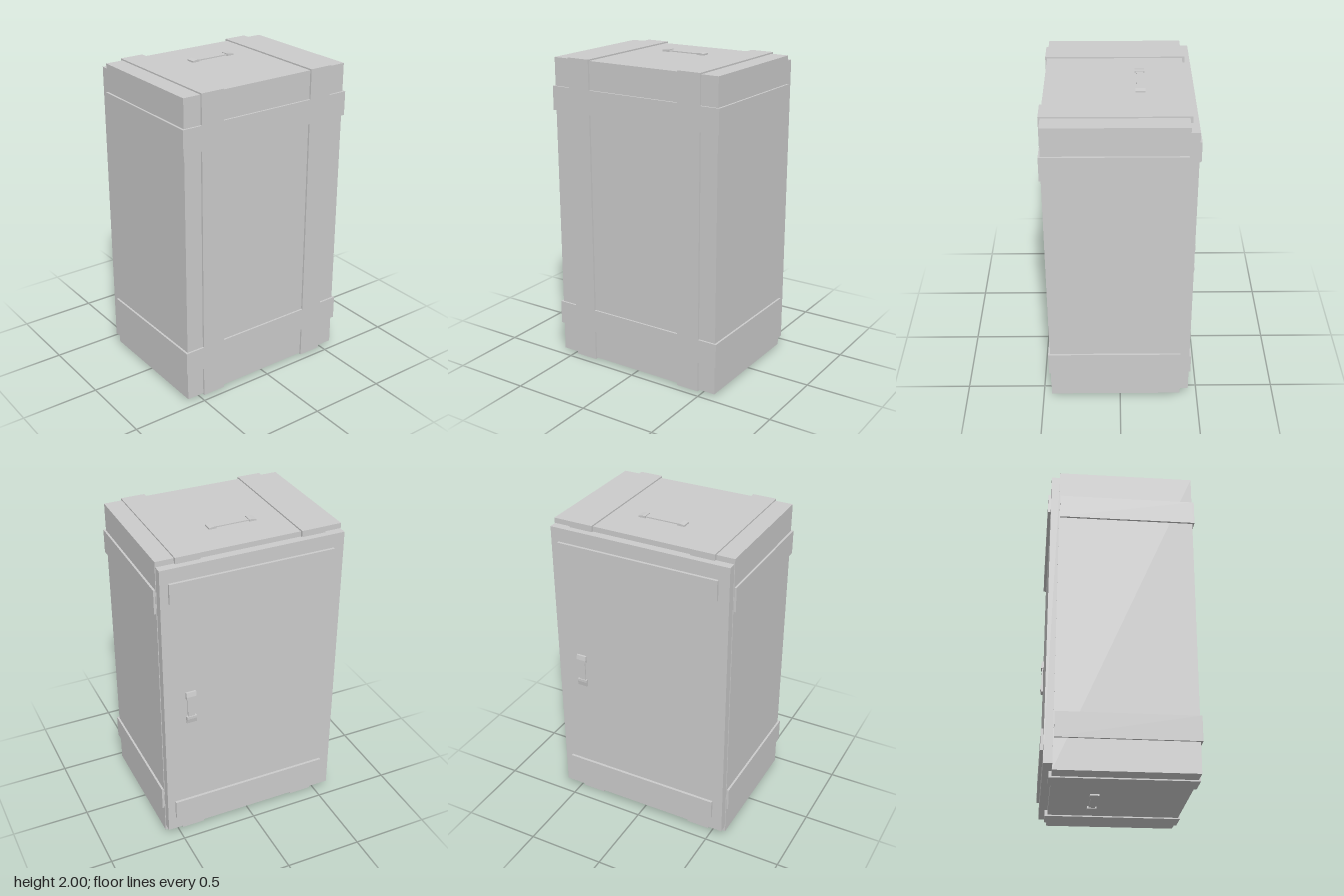
import * as THREE from 'three';

export function createModel() {
  const model = new THREE.Group();
  const material = new THREE.MeshStandardMaterial({ color: 0xcccccc, flatShading: true });

  const add = (name, geometry, parent = model) => {
    const mesh = new THREE.Mesh(geometry, material);
    mesh.name = name;
    parent.add(mesh);
    return mesh;
  };
  // Box given by its minimum and maximum on each axis
  const box = (name, [x0, x1], [y0, y1], [z0, z1], parent) => {
    const mesh = add(name, new THREE.BoxGeometry(x1 - x0, y1 - y0, z1 - z0), parent);
    mesh.position.set((x0 + x1) / 2, (y0 + y1) / 2, (z0 + z1) / 2);
    return mesh;
  };

  const bodyX = 0.587, outerX = 0.6, front = 0.447, frontFace = 0.459, back = -0.39;
  const low = 0.015, high = 1.986, strapLow = 0.007, strapHigh = 1.995;
  const inner = 0.32, outer = 0.473;
  const bands = [[0.204, 0.358], [1.655, 1.808]];

  box('body', [-bodyX, bodyX], [low, high], [back, front]);

  // Front frame: two posts crossed by two bands, all in one plane
  const [[b0, b1], [t0, t1]] = bands;
  const rightSide = [
    [inner, strapLow], [outer, strapLow], [outer, b0], [outerX, b0], [outerX, b1], [outer, b1],
    [outer, t0], [outerX, t0], [outerX, t1], [outer, t1], [outer, strapHigh], [inner, strapHigh], [inner, t1],
  ];
  const outline = [[inner, b0], ...rightSide];
  const mirrored = outline.map(([x, y]) => [-x, y]).reverse();
  const frame = new THREE.Shape([...outline, ...mirrored].map(p => new THREE.Vector2(...p)));
  frame.holes.push(new THREE.Path([[-inner, b1], [-inner, t0], [inner, t0], [inner, b1]]
    .map(p => new THREE.Vector2(...p))));
  const frameGeometry = new THREE.ExtrudeGeometry(frame, { depth: frontFace - front, bevelEnabled: false });
  add('frontFrame', frameGeometry).position.z = front;

  for (const side of [-1, 1]) {
    const span = (a, b) => (side > 0 ? [a, b] : [-b, -a]);
    const name = side > 0 ? 'left' : 'right';
    // Bands continuing around the sides
    for (const band of bands) box(name + 'SideBand', span(bodyX, outerX), band, [-0.385, front]);
    // Straps over the lid and under the base, running past the back edge
    box(name + 'TopStrap', span(inner, outer), [high - 0.03, strapHigh], [-0.407, front]);
    box(name + 'BottomStrap', span(inner, outer), [strapLow, low + 0.03], [-0.407, front]);
  }

  // Rear door with two raised panels
  box('door', [-0.583, 0.583], [0.054, 1.953], [-0.442, back]);
  for (const y of [[0.153, 0.281], [1.737, 1.865]]) box('doorPanel', [-0.515, 0.533], y, [-0.459, -0.442]);

  // Handle lying along x and rising along y: sloped end pads joined by a thin bar
  const handle = (name, halfLength, rise, width) => {
    const group = new THREE.Group();
    group.name = name;
    const h = halfLength;
    const profile = [[h - 0.047, 0], [h, 0], [h, rise * 0.7], [h - 0.03, rise], [h - 0.047, rise]];
    const pad = new THREE.ExtrudeGeometry(
      new THREE.Shape(profile.map(p => new THREE.Vector2(...p))),
      { depth: width, bevelEnabled: false }).translate(0, 0, -width / 2);
    for (const turn of [0, Math.PI]) add('handlePad', pad, group).rotation.y = turn;
    box('handleBar', [-h + 0.045, h - 0.045], [rise * 0.15, rise * 0.65], [-width * 0.35, width * 0.35], group);
    model.add(group);
    return group;
  };
  handle('topHandle', 0.153, 0.014, 0.058).position.set(0, high, -0.122);
  const bottom = handle('bottomHandle', 0.153, 0.015, 0.058);
  bottom.position.set(0, low, -0.122);
  bottom.rotation.x = Math.PI;

  // Door handle stands upright and faces the back
  const doorHandle = handle('doorHandle', 0.111, 0.018, 0.064);
  doorHandle.position.set(0.412, 0.996, -0.442);
  doorHandle.rotation.set(-Math.PI / 2, 0, 0);
  doorHandle.rotateY(Math.PI / 2);

  return model;
}
